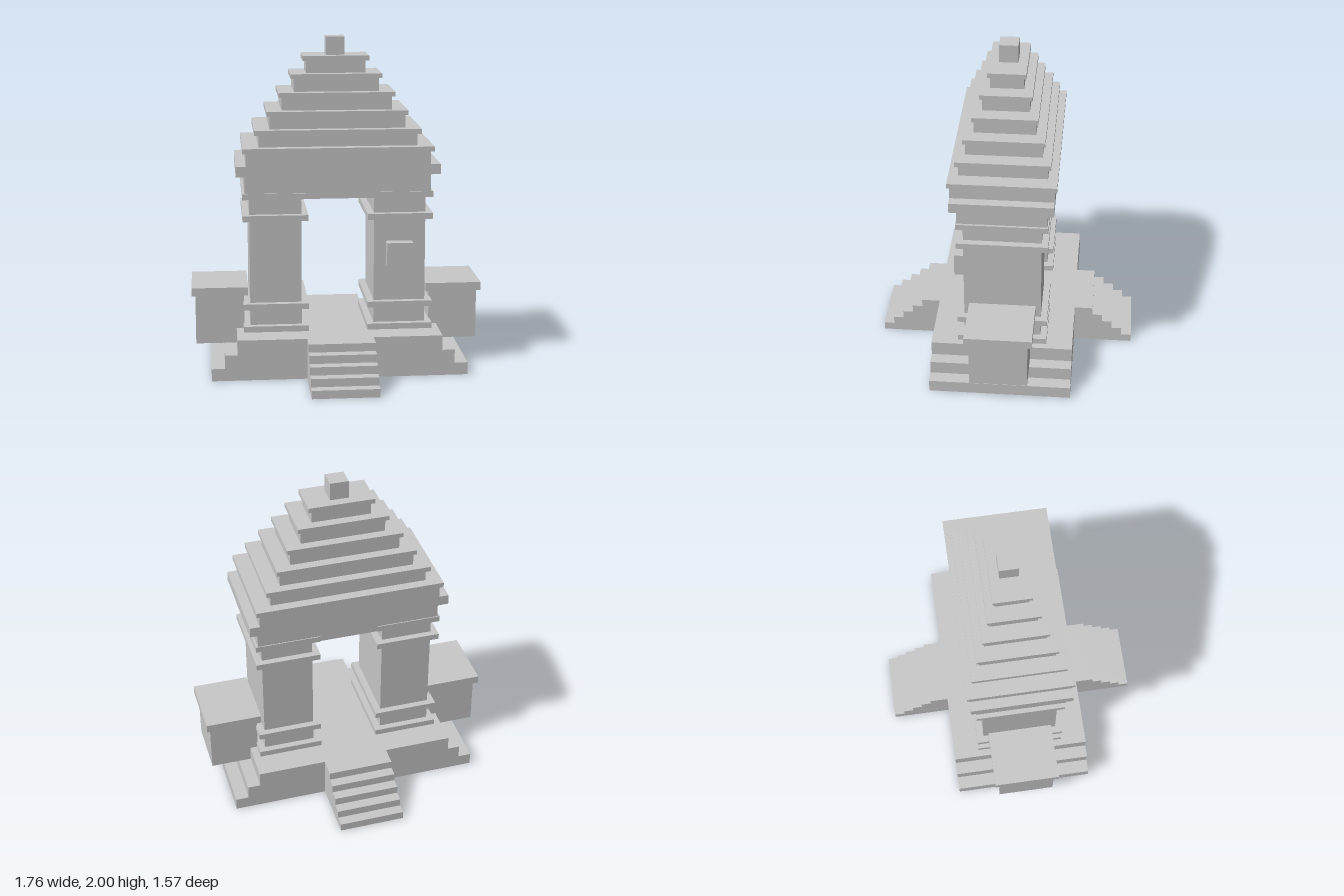
import * as THREE from 'three';

export function createModel() {
  const model = new THREE.Group();
  const stone = new THREE.MeshStandardMaterial({ color: 0xc8c8c8 });
  stone.name = 'light grey stone';

  // Block given by its centre in x and z, bottom and top heights, and half sizes
  function block(parent, name, x, z, y0, y1, hx, hz) {
    const mesh = new THREE.Mesh(new THREE.BoxGeometry(2 * hx, y1 - y0, 2 * hz), stone);
    mesh.position.set(x, (y0 + y1) / 2, z);
    mesh.name = name;
    parent.add(mesh);
  }

  function part(name) {
    const group = new THREE.Group();
    group.name = name;
    model.add(group);
    return group;
  }

  // Stepped platform
  const platform = part('platform');
  const levels = [0, 0.075, 0.157, 0.247];
  [0.766, 0.687, 0.611].forEach((hx, i) =>
    block(platform, 'platformLayer', 0, 0, levels[i], levels[i + 1], hx, 0.427));

  // Stairs at front and back, each tread a slab reaching back to the platform
  for (const side of [1, -1]) {
    const stairs = part(side > 0 ? 'frontStairs' : 'backStairs');
    [0.787, 0.725, 0.663, 0.601, 0.539].forEach((reach, i) =>
      block(stairs, 'stairTread', 0, side * (0.427 + reach) / 2,
        i * 0.0494, (i + 1) * 0.0494, 0.198, (reach - 0.427) / 2));
  }

  for (const side of [1, -1]) {
    // Gate pillars with moulded bands
    const pillar = part(side > 0 ? 'leftPillar' : 'rightPillar');
    const px = side * 0.373;
    block(pillar, 'pillarShaft', px, 0, 0.247, 1.06, 0.155, 0.231);
    for (const y of [0.247, 0.385, 0.927, 1.06])
      block(pillar, 'pillarBand', px, 0, y, y + 0.036, 0.196, 0.27);

    // Side pedestals overhanging the platform
    const pedestal = part(side > 0 ? 'leftPedestal' : 'rightPedestal');
    block(pedestal, 'pedestalBody', side * 0.71, 0, 0.157, 0.46, 0.147, 0.173);
    block(pedestal, 'pedestalCap', side * 0.71, 0, 0.46, 0.51, 0.17, 0.2);
  }

  // Small raised plaque on the front of one pillar
  block(model, 'plaque', 0.369, 0.262, 0.648, 0.788, 0.078, 0.035);

  // Lintel and cornice
  const lintel = part('lintel');
  block(lintel, 'lintelBeam', 0, 0, 1.06, 1.204, 0.555, 0.264);
  block(lintel, 'cornice', 0, 0, 1.204, 1.265, 0.606, 0.302);

  // Stepped roof: [body top, cap top, body half x, half z, cap half x, half z]
  const roof = part('roof');
  let y = 1.265;
  for (const [bodyTop, capTop, bx, bz, cx, cz] of [
    [1.342, 1.372, 0.547, 0.302, 0.566, 0.315],
    [1.443, 1.473, 0.47, 0.258, 0.495, 0.276],
    [1.549, 1.577, 0.403, 0.222, 0.42, 0.236],
    [1.655, 1.682, 0.328, 0.18, 0.347, 0.192],
    [1.761, 1.788, 0.253, 0.137, 0.272, 0.153],
    [1.862, 1.891, 0.178, 0.098, 0.198, 0.112],
  ]) {
    block(roof, 'roofTier', 0, 0, y, bodyTop, bx, bz);
    block(roof, 'roofLedge', 0, 0, bodyTop, capTop, cx, cz);
    y = capTop;
  }
  block(roof, 'finial', 0, 0, y, 2, 0.056, 0.056);

  return model;
}
